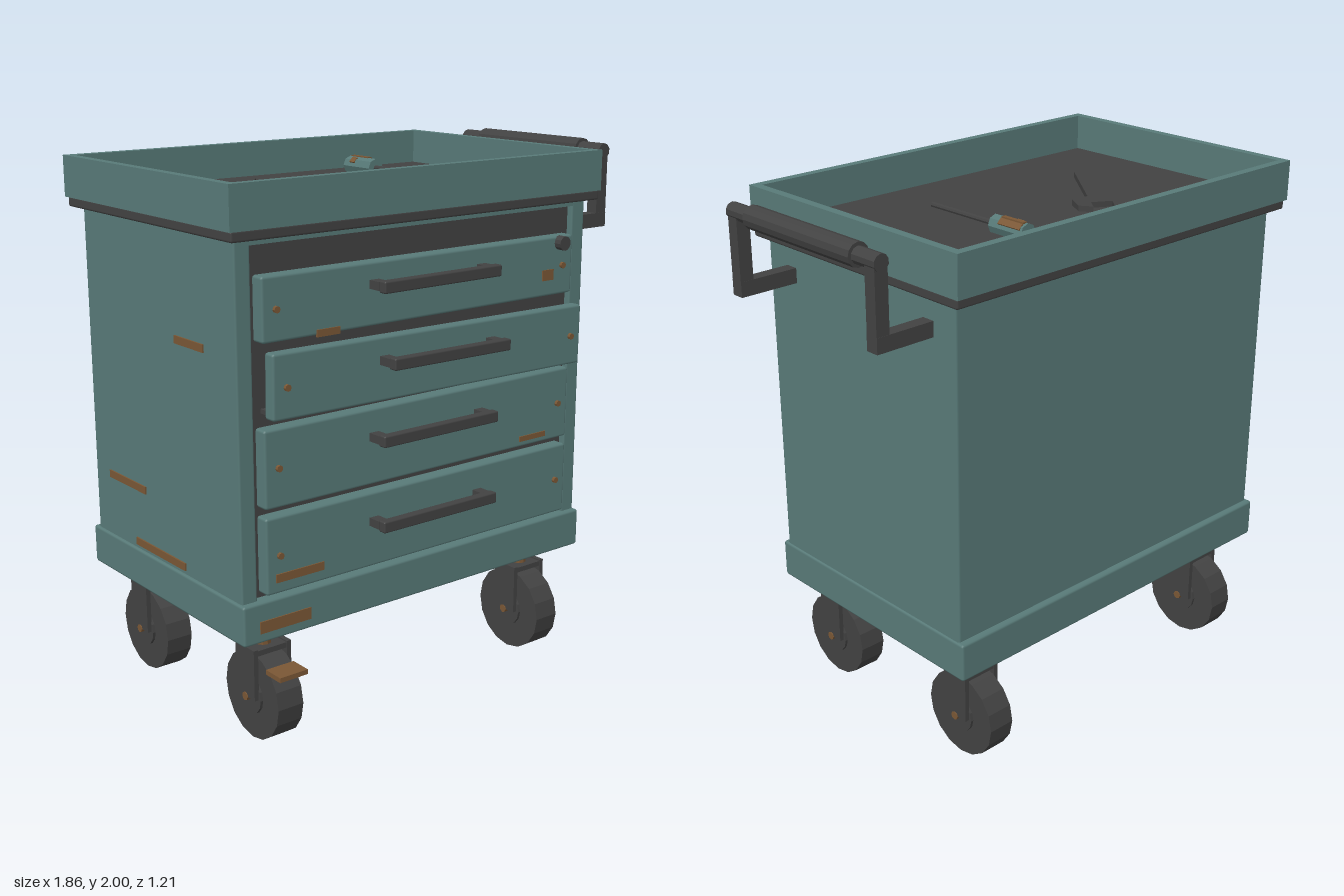
import * as THREE from 'three';
import { RoundedBoxGeometry } from 'three/addons/geometries/RoundedBoxGeometry.js';

const flat = (name, color) => {
  const m = new THREE.MeshStandardMaterial({ color });
  m.name = name;
  return m;
};

export function createModel() {
  const model = new THREE.Group();
  model.name = 'toolCart';
  const paint = flat('tealPaint', 0x587a78);
  const dark = flat('darkSteel', 0x424242);
  const rust = flat('rust', 0x7a5735);

  const add = (parent, name, geometry, material) => {
    const mesh = new THREE.Mesh(geometry, material);
    mesh.name = name;
    parent.add(mesh);
    return mesh;
  };
  // Box given by its limits on each axis, optionally with bevelled edges
  const box = (parent, name, mat, [x0, x1], [y0, y1], [z0, z1], bevel = 0) => {
    const s = [x1 - x0, y1 - y0, z1 - z0];
    const g = bevel ? new RoundedBoxGeometry(...s, 1, bevel) : new THREE.BoxGeometry(...s);
    g.translate((x0 + x1) / 2, (y0 + y1) / 2, (z0 + z1) / 2);
    return add(parent, name, g, mat);
  };
  // Faceted cylinder along the chosen axis
  const rod = (parent, name, mat, r, length, axis, [x, y, z], sides = 12) => {
    let g = new THREE.CylinderGeometry(r, r, length, sides).toNonIndexed();
    if (axis === 'x') g.rotateZ(Math.PI / 2);
    if (axis === 'z') g.rotateX(Math.PI / 2);
    g.computeVertexNormals();
    g.translate(x, y, z);
    return add(parent, name, g, mat);
  };

  // Cabinet with a recessed dark opening
  const cabinet = new THREE.Group();
  cabinet.name = 'cabinet';
  model.add(cabinet);
  box(cabinet, 'carcass', paint, [-0.895, 0.68], [0.5, 1.81], [-0.555, 0.4], 0.01);
  box(cabinet, 'leftPost', paint, [0.615, 0.68], [0.56, 1.81], [0.38, 0.432], 0.008);
  box(cabinet, 'rightPost', paint, [-0.895, -0.832], [0.56, 1.81], [0.38, 0.432], 0.008);
  box(cabinet, 'topRail', paint, [-0.84, 0.62], [1.78, 1.81], [0.38, 0.432]);
  box(cabinet, 'opening', dark, [-0.835, 0.618], [0.57, 1.782], [0.4, 0.408]);
  box(cabinet, 'base', paint, [-0.905, 0.687], [0.425, 0.572], [-0.58, 0.455], 0.01);

  // Open tray on top
  const tray = new THREE.Group();
  tray.name = 'topTray';
  model.add(tray);
  box(tray, 'trayLip', dark, [-0.93, 0.713], [1.8, 1.838], [-0.6, 0.473], 0.008);
  box(tray, 'trayFloor', dark, [-0.92, 0.7], [1.83, 1.85], [-0.59, 0.46]);
  box(tray, 'trayMat', dark, [-0.877, 0.66], [1.85, 1.858], [-0.55, 0.415]);
  box(tray, 'frontWall', paint, [-0.937, 0.717], [1.835, 1.985], [0.445, 0.478]);
  box(tray, 'backWall', paint, [-0.937, 0.717], [1.835, 1.985], [-0.608, -0.575]);
  box(tray, 'leftWall', paint, [0.684, 0.717], [1.835, 1.985], [-0.575, 0.445]);
  box(tray, 'rightWall', paint, [-0.937, -0.904], [1.835, 1.985], [-0.575, 0.445]);

  // Drawers: bottom, top, handle height, bolt height, pull-out, tilt
  const drawers = [
    [1.46, 1.68, 1.605, 1.57, 0, 0],
    [1.205, 1.43, 1.35, 1.315, 0.055, -0.011],
    [0.895, 1.17, 1.07, 1.035, 0, 0],
    [0.59, 0.865, 0.76, 0.727, 0, 0],
  ];
  drawers.forEach(([y0, y1, yHandle, yBolt, pull, tilt], i) => {
    const d = new THREE.Group();
    d.name = `drawer${i + 1}`;
    const mid = (y0 + y1) / 2;
    d.position.set(-0.108, mid, pull);
    d.rotation.z = tilt;
    model.add(d);
    const h = (y1 - y0) / 2;
    box(d, 'drawerFront', paint, [-0.703, 0.703], [-h, h], [pull ? 0.41 : 0.4, 0.46], 0.01);
    if (pull) box(d, 'drawerBottom', dark, [-0.68, 0.68], [-h + 0.005, -h + 0.02], [0.2, 0.42]);
    const y = yHandle - mid;
    box(d, 'handleBar', dark, [-0.267, 0.263], [y - 0.021, y + 0.021], [0.512, 0.547], 0.006);
    for (const x of [-0.245, 0.241])
      box(d, 'handlePost', dark, [x - 0.02, x + 0.02], [y - 0.015, y + 0.015], [0.455, 0.52]);
    for (const x of [-0.65, 0.648])
      rod(d, 'bolt', rust, 0.012, 0.015, 'z', [x, yBolt - mid, 0.464], 8);
  });
  rod(model, 'lock', dark, 0.027, 0.035, 'z', [0.527, 1.655, 0.472], 12);

  // Rust patches: front ones by x and y, side ones by y and z
  for (const [x0, x1, y0, y1, z] of [
    [-0.595, -0.5, 1.455, 1.48, 0.46], [0.44, 0.495, 1.52, 1.56, 0.46],
    [0.345, 0.478, 0.917, 0.937, 0.46], [-0.775, -0.575, 0.632, 0.662, 0.46],
    [-0.84, -0.63, 0.462, 0.505, 0.455],
  ]) box(model, 'rustPatch', rust, [x0, x1], [y0, y1], [z - 0.003, z + 0.005]);
  for (const [y, z0, z1] of [[1.42, 0.06, 0.24], [0.815, -0.44, -0.18], [0.6, -0.26, 0.08]])
    box(model, 'sideRustPatch', rust, [-0.901, -0.893], [y - 0.014, y + 0.014], [z0, z1]);

  // Push handle on the left side
  const push = new THREE.Group();
  push.name = 'pushHandle';
  model.add(push);
  for (const z of [0.303, -0.425]) {
    box(push, 'handleArm', dark, [0.67, 0.91], [1.665, 1.72], [z - 0.025, z + 0.025]);
    box(push, 'handleUpright', dark, [0.858, 0.91], [1.67, 1.96], [z - 0.024, z + 0.024]);
  }
  rod(push, 'crossbar', dark, 0.03, 0.785, 'z', [0.885, 1.958, -0.061], 10);
  rod(push, 'grip', dark, 0.042, 0.56, 'z', [0.885, 1.958, -0.063], 12);

  // Casters
  for (const x of [-0.73, 0.512]) for (const z of [0.308, -0.427]) {
    const c = new THREE.Group();
    c.name = 'caster';
    c.position.set(x, 0, z);
    model.add(c);
    rod(c, 'mountPlate', dark, 0.082, 0.035, 'y', [0, 0.411, 0], 12);
    rod(c, 'stem', rust, 0.028, 0.08, 'y', [0, 0.365, 0], 10);
    box(c, 'forkBridge', dark, [-0.075, 0.075], [0.33, 0.35], [-0.055, 0.055]);
    for (const s of [-1, 1])
      box(c, 'forkPlate', dark, [s * 0.07 - 0.009, s * 0.07 + 0.009], [0.165, 0.355], [-0.057, 0.057]);
    rod(c, 'wheel', dark, 0.164, 0.105, 'x', [0, 0.162, 0], 16);
    rod(c, 'hub', dark, 0.07, 0.126, 'x', [0, 0.165, 0], 14);
    rod(c, 'axle', rust, 0.016, 0.166, 'x', [0, 0.165, 0], 8);
    if (x < 0 && z > 0)
      box(c, 'brakeLever', rust, [-0.058, 0.058], [0.278, 0.296], [0.1, 0.185]);
  }

  // Wrench lying on the mat
  const outline = [
    [-0.58, 0.07], [-0.53, 0.105], [-0.315, -0.17], [-0.24, -0.165], [-0.2, -0.235], [-0.23, -0.28],
    [-0.265, -0.235], [-0.335, -0.275], [-0.29, -0.33], [-0.34, -0.34], [-0.375, -0.29], [-0.37, -0.205],
  ].map(([x, z]) => new THREE.Vector2(x, -z));
  const wrench = new THREE.ExtrudeGeometry(new THREE.Shape(outline), { depth: 0.022, bevelEnabled: false });
  wrench.rotateX(-Math.PI / 2).translate(0, 1.857, 0);
  add(model, 'wrench', wrench, dark);

  // Screwdriver lying on the mat
  const driver = new THREE.Group();
  driver.name = 'screwdriver';
  driver.position.set(0.2, 1.892, 0);
  model.add(driver);
  rod(driver, 'driverHandle', paint, 0.035, 0.16, 'z', [0, 0, -0.305], 8);
  rod(driver, 'driverShaft', dark, 0.01, 0.33, 'z', [0, 0, -0.065], 8);
  box(driver, 'driverMark', rust, [-0.003, 0.014], [0.032, 0.038], [-0.375, -0.27]);
  const mark = box(driver, 'driverSideMark', rust, [-0.012, 0.012], [0.03, 0.036], [-0.375, -0.27]);
  mark.rotation.z = -Math.PI / 4;
  const band = box(driver, 'driverBandMark', rust, [-0.012, 0.012], [0.03, 0.036], [-0.35, -0.32]);
  band.rotation.z = Math.PI / 4;

  return model;
}
